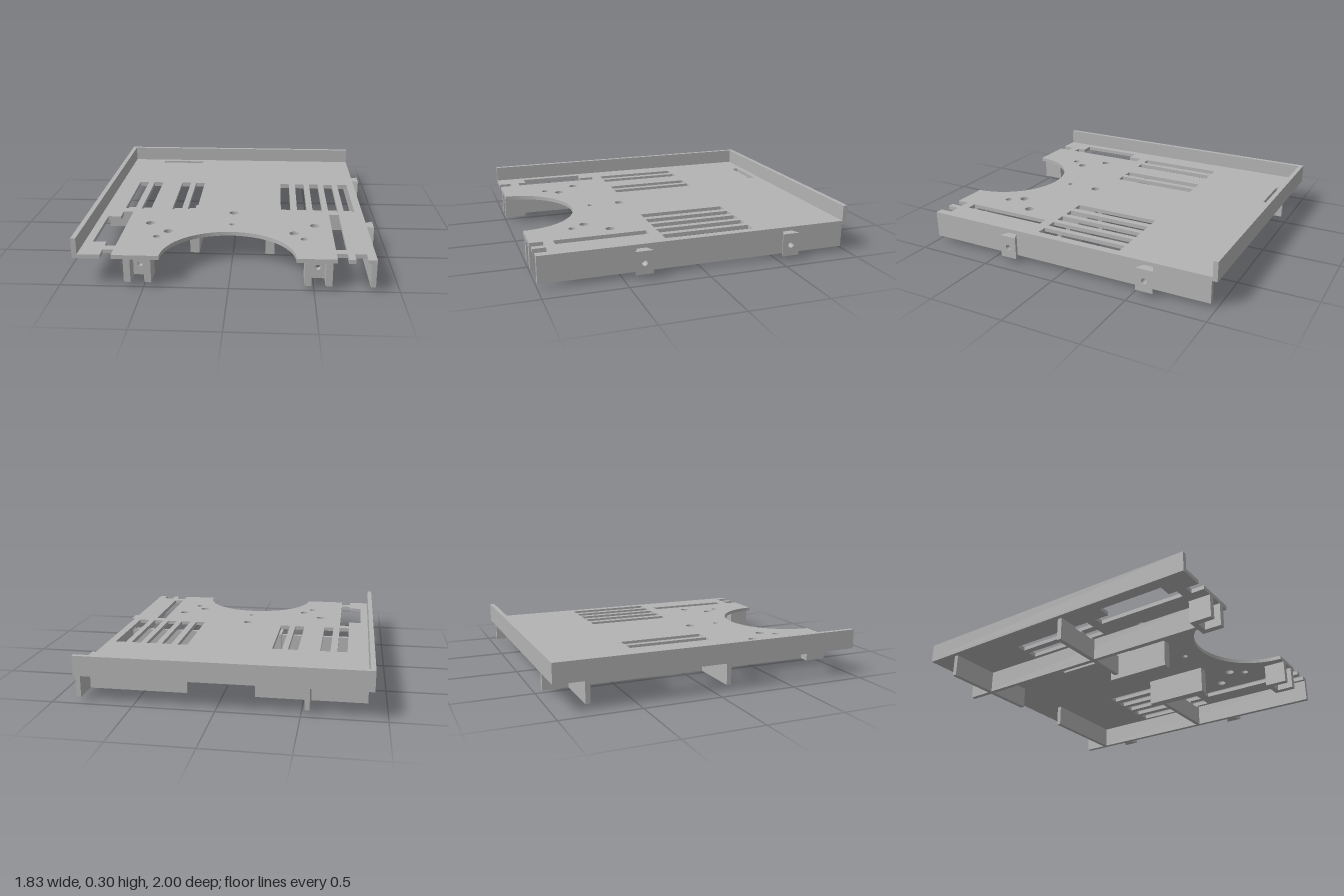
import * as THREE from 'three';

const grey = new THREE.MeshStandardMaterial({ color: 0xb3b3b3 });
grey.name = 'plain grey';

const TOP = 0.2, UNDER = 0.175, LOW = 0.03;

// x ranges of the long vent slots
const leftSlots = [[-0.75, -0.685], [-0.64, -0.575], [-0.43, -0.365], [-0.325, -0.26]];
const rightSlots = [[0.31, 0.375], [0.42, 0.485], [0.525, 0.59], [0.63, 0.695], [0.735, 0.805]];

function add(group, name, geometry) {
  const mesh = new THREE.Mesh(geometry, grey);
  mesh.name = name;
  group.add(mesh);
  return mesh;
}

// Box given by its limits on each axis
function slab(group, name, x0, x1, y0, y1, z0, z1) {
  const mesh = add(group, name, new THREE.BoxGeometry(x1 - x0, y1 - y0, z1 - z0));
  mesh.position.set((x0 + x1) / 2, (y0 + y1) / 2, (z0 + z1) / 2);
  return mesh;
}

function outline(points) {
  return new THREE.Shape(points.map(([a, b]) => new THREE.Vector2(a, b)));
}

function rectangle(x0, x1, y0, y1) {
  return outline([[x0, y0], [x1, y0], [x1, y1], [x0, y1]]);
}

function roundHole(x, y, r) {
  return new THREE.Path().absarc(x, y, r, 0, Math.PI * 2, true);
}

function extrude(shape, depth) {
  return new THREE.ExtrudeGeometry(shape, { depth, bevelEnabled: false, curveSegments: 24 });
}

// Main tray, drawn in x and -z then laid flat
function trayGeometry() {
  const s = new THREE.Shape();
  s.moveTo(-0.915, 1);
  s.lineTo(-0.915, -1);
  const notch = (a, b) => {
    s.lineTo(a, -1);
    s.lineTo(a, -0.92);
    s.lineTo(b, -0.92);
    s.lineTo(b, -1);
  };
  notch(-0.75, -0.685);
  s.lineTo(-0.405, -1);
  for (let i = 1; i <= 40; i++) {
    const a = Math.PI * (1 - i / 40);
    s.lineTo(-0.005 + 0.4 * Math.cos(a), -1 + 0.39 * Math.sin(a));
  }
  notch(0.63, 0.695);
  notch(0.735, 0.805);
  s.lineTo(0.857, -1);
  s.lineTo(0.857, 1);
  s.closePath();

  for (const [a, b] of [...leftSlots, ...rightSlots]) s.holes.push(rectangle(a, b, -0.215, 0.36));
  s.holes.push(rectangle(-0.64, -0.325, 0.885, 0.93));
  s.holes.push(rectangle(0.63, 0.695, -0.86, -0.28));
  s.holes.push(outline([[-0.75, -0.28], [-0.685, -0.28], [-0.685, -0.86], [-0.75, -0.86],
    [-0.75, -0.805], [-0.835, -0.805], [-0.835, -0.375], [-0.75, -0.375]]));
  const holes = [[-0.005, 0.27, 0.03], [-0.005, 0.48, 0.018], [-0.535, 0.48, 0.03], [0.525, 0.48, 0.03],
    [-0.4, 0.615, 0.03], [0.39, 0.615, 0.03], [-0.46, 0.705, 0.023], [0.45, 0.705, 0.023]];
  for (const [x, z, r] of holes) s.holes.push(roundHole(x, -z, r));
  return extrude(s, TOP - UNDER).rotateX(-Math.PI / 2).translate(0, UNDER, 0);
}

// Cross rib with shallow notches beneath the vent slots
function slottedRib(x0, x1, slots) {
  const top = [];
  for (const [a, b] of slots) top.push([a, UNDER], [a, 0.163], [b, 0.163], [b, UNDER]);
  const s = outline([[x0, UNDER], ...top, [x1, UNDER], [x1, LOW], [x0, LOW]]);
  return extrude(s, 0.03).translate(0, 0, 0.093);
}

// Side clip that flares outwards, with a round hole through it
function clipGeometry() {
  const s = rectangle(-0.03, 0.03, LOW, UNDER);
  s.holes.push(roundHole(0, 0.1, 0.018));
  const g = extrude(s, 0.053).rotateY(Math.PI / 2);
  const p = g.attributes.position;
  for (let i = 0; i < p.count; i++) {
    const z = p.getZ(i);
    if (Math.abs(z) > 0.025 && p.getX(i) > 0.02) p.setZ(i, Math.sign(z) * 0.056);
  }
  g.computeVertexNormals();
  return g;
}

// Front channel post, open to the front, with a hole in its web
function channelPost(x) {
  const post = new THREE.Group();
  post.name = 'channelPost';
  for (const side of [-1, 1]) {
    const c = side * 0.061;
    slab(post, 'postCheek', c - 0.02, c + 0.02, LOW, UNDER, 0.86, 1);
  }
  const web = rectangle(-0.041, 0.041, LOW, UNDER);
  web.holes.push(roundHole(0, 0.1, 0.016));
  add(post, 'postWeb', extrude(web, 0.035)).position.z = 0.86;
  post.position.x = x;
  return post;
}

export function createModel() {
  const model = new THREE.Group();
  model.name = 'slottedTray';

  // Tray and its walls
  add(model, 'trayPlate', trayGeometry());
  slab(model, 'sideLip', -0.915, -0.885, TOP, 0.3, -1, 1);
  slab(model, 'backLip', -0.885, 0.857, TOP, 0.3, -1, -0.97);
  slab(model, 'sideSkirt', 0.827, 0.857, LOW, UNDER, -0.967, 1);

  // Clips on the skirt
  for (const z of [-0.575, 0.38]) add(model, 'sideClip', clipGeometry()).position.set(0.857, 0, z);

  // Ribs below the tray
  slab(model, 'backRib', -0.885, -0.21, LOW, UNDER, -0.805, -0.775);
  slab(model, 'backRib', 0.21, 0.827, LOW, UNDER, -0.805, -0.775);
  add(model, 'middleRib', slottedRib(-0.885, -0.25, leftSlots.slice(0, 3).concat([[-0.325, -0.28]])));
  add(model, 'middleRib', slottedRib(0.24, 0.827, rightSlots));
  slab(model, 'longRib', -0.55, -0.52, LOW, UNDER, -0.967, 0.86);

  // Feet and front posts
  slab(model, 'foot', -0.28, -0.22, 0, UNDER, 0.063, 0.485);
  slab(model, 'foot', 0.21, 0.27, 0, UNDER, 0.063, 0.485);
  for (const x of [-0.535, 0.525]) model.add(channelPost(x));

  return model;
}
